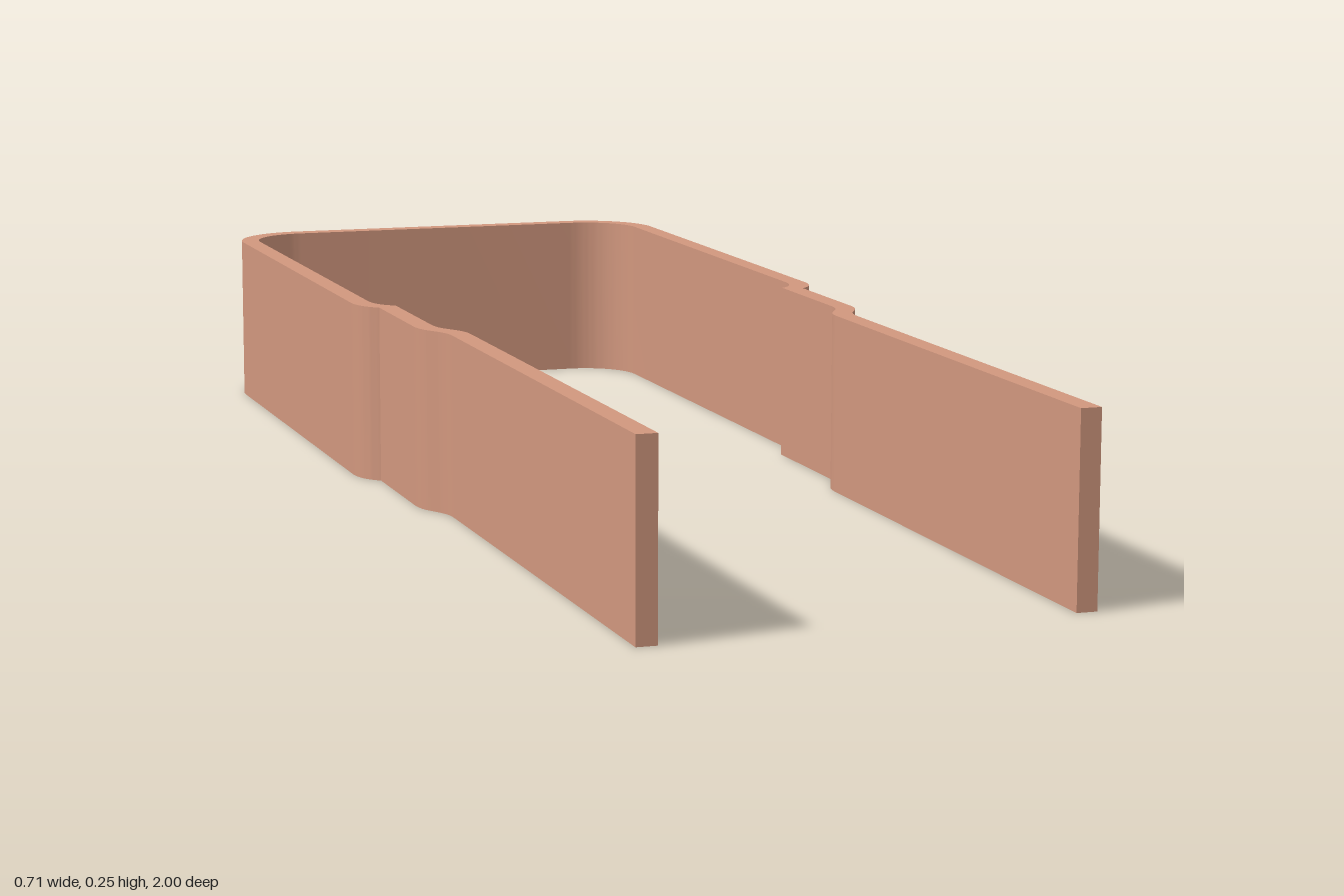
import * as THREE from 'three';
import { toCreasedNormals } from 'three/addons/utils/BufferGeometryUtils.js';

const HEIGHT = 0.255;

// One face of the strip, from the middle of the back to the tip of the left arm.
// Plan coordinates: x across, y towards the back (-z).
function halfFace({ back, side, radius, neck, neckStart, kink, bendStart, bendEnd, arm }) {
  const p = new THREE.Path();
  p.moveTo(0, back);
  p.lineTo(side - radius, back);
  // rounded back corner
  p.absarc(side - radius, back - radius, radius, Math.PI / 2, 0, true);
  // shoulder curving in to a sharp kink
  p.lineTo(side, neckStart);
  p.quadraticCurveTo(side, neckStart - 0.042, neck, kink);
  // neck, then a soft S-bend into the straight arm
  p.lineTo(neck, bendStart);
  const mid = (bendStart + bendEnd) / 2;
  p.bezierCurveTo(neck, mid, arm, mid, arm, bendEnd);
  p.lineTo(arm, -1);
  return p.getPoints(14);
}

export function createModel() {
  const outer = halfFace({
    back: 1, side: 0.355, radius: 0.117, neck: 0.328, neckStart: 0.15, kink: 0.087,
    bendStart: -0.105, bendEnd: -0.205, arm: 0.299,
  });
  const inner = halfFace({
    back: 0.972, side: 0.327, radius: 0.089, neck: 0.3, neckStart: 0.16, kink: 0.1,
    bendStart: -0.1, bendEnd: -0.195, arm: 0.271,
  });
  const mirror = (pts) => pts.slice(1).map((v) => new THREE.Vector2(-v.x, v.y));

  // Closed outline: around the outside, then back along the inside
  const outline = [
    ...mirror(outer).reverse(), ...outer,
    ...inner.slice().reverse(), ...mirror(inner),
  ];

  const extruded = new THREE.ExtrudeGeometry(new THREE.Shape(outline), {
    depth: HEIGHT, bevelEnabled: false,
  });
  extruded.rotateX(-Math.PI / 2);

  const strip = new THREE.Mesh(
    toCreasedNormals(extruded, 0.5),
    new THREE.MeshStandardMaterial({ color: 0xd1977e }),
  );
  strip.name = 'bentStripClip';

  const group = new THREE.Group();
  group.name = 'clip';
  group.add(strip);
  return group;
}
